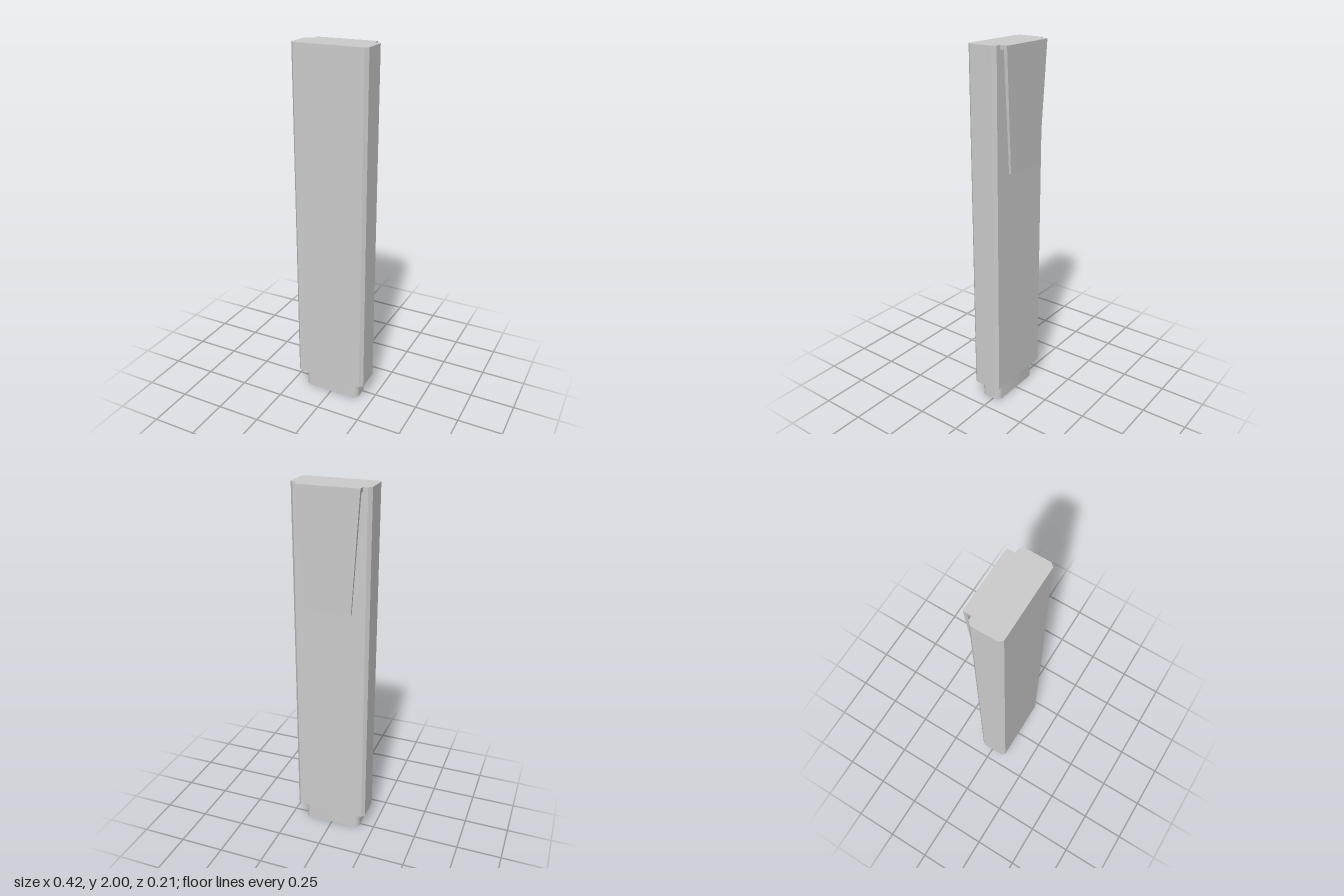
import * as THREE from 'three';
import { toCreasedNormals } from 'three/addons/utils/BufferGeometryUtils.js';

const material = new THREE.MeshStandardMaterial({ color: 0xcccccc });

function addMesh(group, name, geometry) {
  const mesh = new THREE.Mesh(geometry, material);
  mesh.name = name;
  group.add(mesh);
  return mesh;
}

// Upright prism from a plan outline centred on x = 0, z = zMid
function prism(shape, y0, y1, zMid) {
  const g = new THREE.ExtrudeGeometry(shape, { depth: y1 - y0, bevelEnabled: false, curveSegments: 8 });
  g.rotateX(-Math.PI / 2);
  g.translate(0, y0, zMid);
  return g;
}

// Rectangle with cut corners
function chamferedRect(w, d, cx, cd) {
  return new THREE.Shape([
    [-w + cx, -d], [w - cx, -d], [w, -d + cd], [w, d - cd],
    [w - cx, d], [-w + cx, d], [-w, d - cd], [-w, -d + cd],
  ].map(([x, y]) => new THREE.Vector2(x, y)));
}

// Rectangle with round corners
function roundedRect(w, d, r) {
  const s = new THREE.Shape();
  s.absarc(w - r, d - r, r, 0, Math.PI / 2);
  s.absarc(-w + r, d - r, r, Math.PI / 2, Math.PI);
  s.absarc(-w + r, -d + r, r, Math.PI, Math.PI * 1.5);
  s.absarc(w - r, -d + r, r, Math.PI * 1.5, Math.PI * 2);
  s.closePath();
  return s;
}

export function createModel() {
  const model = new THREE.Group();
  model.name = 'pocketCase';

  // Long body with cut vertical edges
  addMesh(model, 'body', prism(chamferedRect(0.208, 0.0835, 0.017, 0.019), 0.104, 2, 0.0205));

  // Rounded plug under the body
  addMesh(model, 'tip', toCreasedNormals(prism(roundedRect(0.167, 0.0625, 0.035), 0, 0.104, 0.0215), 0.6));

  // Clip: side profile (z, y) extruded across x, then narrowed towards its lower end
  const top = 2, bottom = 1.37, halfWidth = 0.167;
  const profile = new THREE.Shape([
    [0.063, top], [0.063, 1.979], [0.085, 1.979], [0.085, bottom],
    [0.097, bottom], [0.105, top],
  ].map(([x, y]) => new THREE.Vector2(x, y)));
  const clip = new THREE.ExtrudeGeometry(profile, { depth: 2 * halfWidth, bevelEnabled: false });
  clip.translate(0, 0, -halfWidth);
  clip.rotateY(Math.PI / 2);
  const p = clip.attributes.position;
  for (let i = 0; i < p.count; i++) {
    const t = (top - p.getY(i)) / (top - bottom);
    p.setX(i, p.getX(i) * (1 - 0.25 * t));
  }
  clip.computeVertexNormals();
  addMesh(model, 'clip', clip);

  return model;
}
